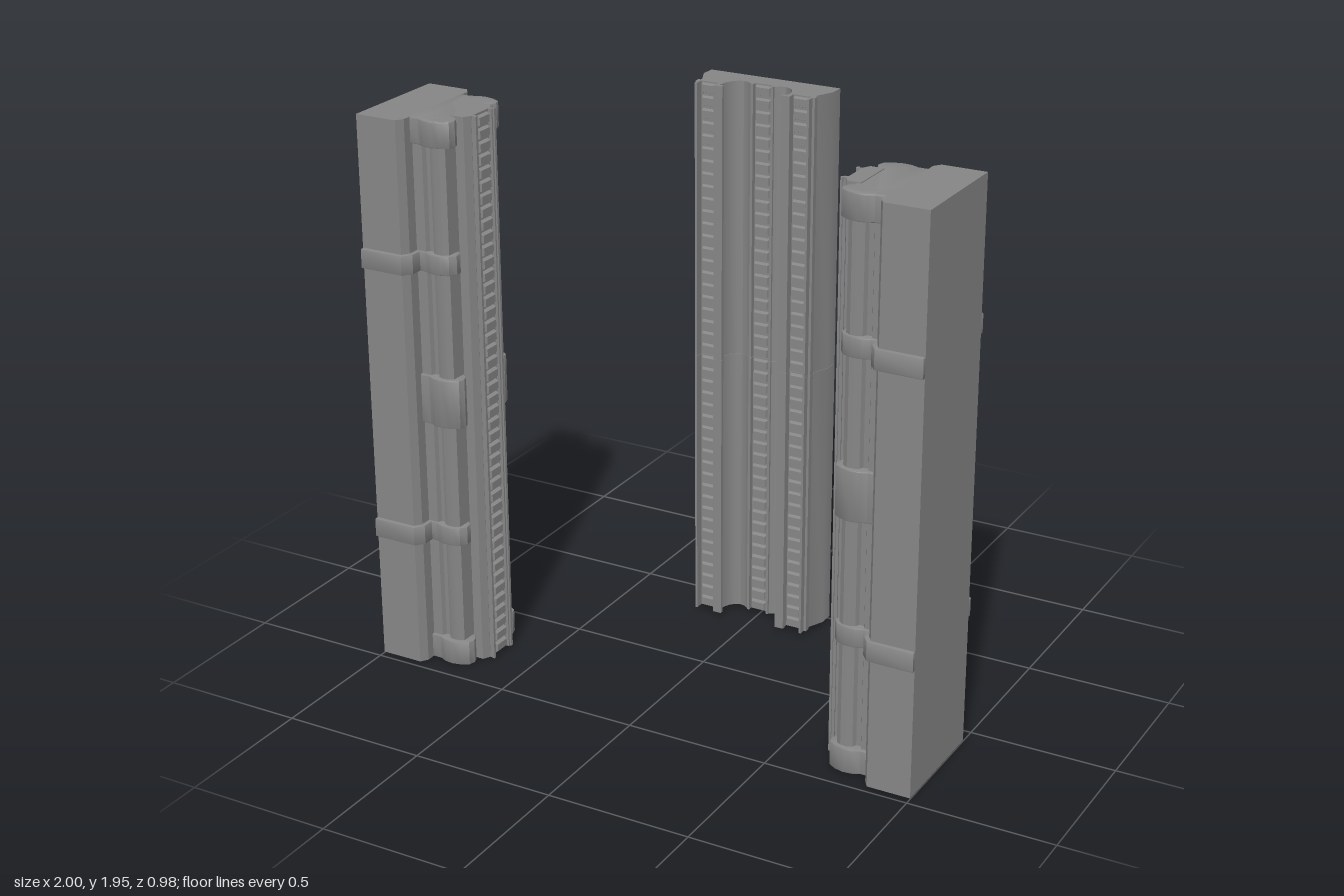
import * as THREE from 'three';
import { toCreasedNormals } from 'three/addons/utils/BufferGeometryUtils.js';

const material = new THREE.MeshStandardMaterial({ color: 0x868686 });

// Mirror half a plan outline and extrude it upwards from y0 to y1.
// axis 'x': points are [x, halfDepth]; axis 'z': points are [halfWidth, z].
function prism(name, half, axis, y0, y1, bevel = 0) {
  const pts = half.map(([a, b]) => (axis === 'x' ? [a, b] : [a, -b]));
  const other = pts.slice().reverse().map(([a, b]) => (axis === 'x' ? [a, -b] : [-a, b]));
  const shape = new THREE.Shape(pts.concat(other).map(([a, b]) => new THREE.Vector2(a, b)));
  const geo = new THREE.ExtrudeGeometry(shape, {
    depth: y1 - y0 - 2 * bevel, bevelEnabled: bevel > 0,
    bevelSize: bevel, bevelThickness: bevel, bevelOffset: -bevel, bevelSegments: 2,
  });
  geo.rotateX(-Math.PI / 2);
  geo.translate(0, y0 + bevel, 0);
  const mesh = new THREE.Mesh(toCreasedNormals(geo, 0.5), material);
  mesh.name = name;
  return mesh;
}

function box(name, x0, x1, y0, y1, z0, z1) {
  const mesh = new THREE.Mesh(
    new THREE.BoxGeometry(Math.abs(x1 - x0), y1 - y0, Math.abs(z1 - z0)), material);
  mesh.position.set((x0 + x1) / 2, (y0 + y1) / 2, (z0 + z1) / 2);
  mesh.name = name;
  return mesh;
}

const TEETH = 22;

// A vertical row of studs facing +z, each tapering towards its front face
function rack(name, height, width, reach) {
  const group = new THREE.Group();
  group.name = name;
  const pitch = height / TEETH;
  const geo = new THREE.BoxGeometry(width, pitch * 0.8, reach);
  const pos = geo.attributes.position;
  for (let i = 0; i < pos.count; i++) {
    if (pos.getZ(i) > 0) pos.setXY(i, pos.getX(i) * 0.8, pos.getY(i) * 0.72);
  }
  geo.computeVertexNormals();
  for (let i = 0; i < TEETH; i++) {
    const tooth = new THREE.Mesh(geo, material);
    tooth.name = 'rackTooth';
    tooth.position.set(0, (i + 0.5) * pitch, reach / 2);
    group.add(tooth);
  }
  return group;
}

const COLUMN_BASE = 0.003;
const SECTION = 0.965;
const COLUMN_TOP = COLUMN_BASE + 2 * SECTION;

// A full side column, inner face towards -x
function column(name) {
  const g = new THREE.Group();
  g.name = name;
  for (let i = 0; i < 2; i++) {
    const y = COLUMN_BASE + SECTION * i;
    g.add(prism('columnBody', [
      [1, 0.205], [0.85, 0.205], [0.833, 0.18], [0.833, 0.14], [0.797, 0.14], [0.79, 0.126],
      [0.773, 0.126], [0.766, 0.14], [0.752, 0.147], [0.727, 0.147], [0.71, 0.136],
      [0.708, 0.08], [0.68, 0.08],
    ], 'x', y, y + SECTION));
    // Strap around the body and the rounded lobes
    g.add(prism('strap', [
      [1, 0.218], [0.842, 0.218], [0.818, 0.188], [0.818, 0.147], [0.795, 0.147], [0.77, 0.157],
      [0.735, 0.157], [0.705, 0.147], [0.689, 0.125], [0.692, 0.1], [0.71, 0.08],
    ], 'x', y + 0.448, y + 0.516, 0.004));
    const teeth = rack('innerRack', SECTION, 0.07, 0.014);
    teeth.position.set(0.661, y, 0);
    teeth.rotation.y = -Math.PI / 2;
    g.add(teeth);
  }
  // Rounded collars at the foot, middle and top
  const middle = COLUMN_BASE + SECTION;
  const collars = [
    ['footCollar', COLUMN_BASE, 0.09],
    ['middleCollar', middle - 0.086, middle + 0.086],
    ['topCollar', COLUMN_TOP - 0.088, COLUMN_TOP],
  ];
  for (const [part, y0, y1] of collars) {
    g.add(prism(part, [
      [0.84, 0.15], [0.8, 0.15], [0.775, 0.162], [0.745, 0.165], [0.715, 0.158],
      [0.688, 0.142], [0.681, 0.12], [0.688, 0.1], [0.703, 0.082], [0.72, 0.08],
    ], 'x', y0, y1, 0.004));
  }
  // Rack bed with flanged side rails, slightly taller than the body
  const height = COLUMN_TOP + 0.003;
  g.add(prism('rackBed', [[0.72, 0.08], [0.675, 0.08], [0.661, 0.055]], 'x', 0, height));
  for (const s of [-1, 1]) {
    g.add(box('innerRail', 0.648, 0.67, 0, height, 0.042 * s, 0.054 * s));
    g.add(box('innerRailLip', 0.642, 0.65, 0, height, 0.048 * s, 0.058 * s));
  }
  return g;
}

// One half-height section of the back panel, racks towards +z
function panelSection(H) {
  const g = new THREE.Group();
  g.name = 'panelSection';
  g.add(prism('panelBody', [
    [0.24, -0.49], [0.24, -0.437], [0.212, -0.375], [0.212, -0.354], [0.125, -0.354],
    [0.121, -0.375], [0.11, -0.398], [0.095, -0.412], [0.078, -0.418], [0.06, -0.414],
    [0.046, -0.404], [0.036, -0.404], [0.036, -0.414],
  ], 'z', 0, H));
  for (const s of [-1, 1]) {
    g.add(box('outerRail', 0.203 * s, 0.211 * s, 0, H, -0.37, -0.322));
    g.add(box('outerRailFlange', 0.209 * s, 0.22 * s, 0, H, -0.365, -0.345));
    g.add(box('innerRail', 0.124 * s, 0.138 * s, 0, H, -0.36, -0.325));
    g.add(box('innerRailLip', 0.108 * s, 0.14 * s, 0, H, -0.336, -0.323));
    g.add(box('centreRail', 0.033 * s, 0.042 * s, 0, H, -0.42, -0.396));
    const side = rack('sideRack', H, 0.058, 0.014);
    side.position.set(0.17 * s, 0, -0.355);
    g.add(side);
  }
  const centre = rack('centreRack', H, 0.06, 0.015);
  centre.position.z = -0.415;
  g.add(centre);
  return g;
}

export function createModel() {
  const model = new THREE.Group();
  model.name = 'railAssembly';

  const left = column('leftColumn');
  left.position.z = 0.27;
  const right = column('rightColumn');
  right.position.z = 0.27;
  right.rotation.y = Math.PI;
  model.add(left, right);

  // Two panel sections with a hairline seam
  const panel = new THREE.Group();
  panel.name = 'backPanel';
  for (let i = 0; i < 2; i++) {
    const part = panelSection(0.966);
    part.position.y = 0.015 + 0.967 * i;
    panel.add(part);
  }
  model.add(panel);
  return model;
}
